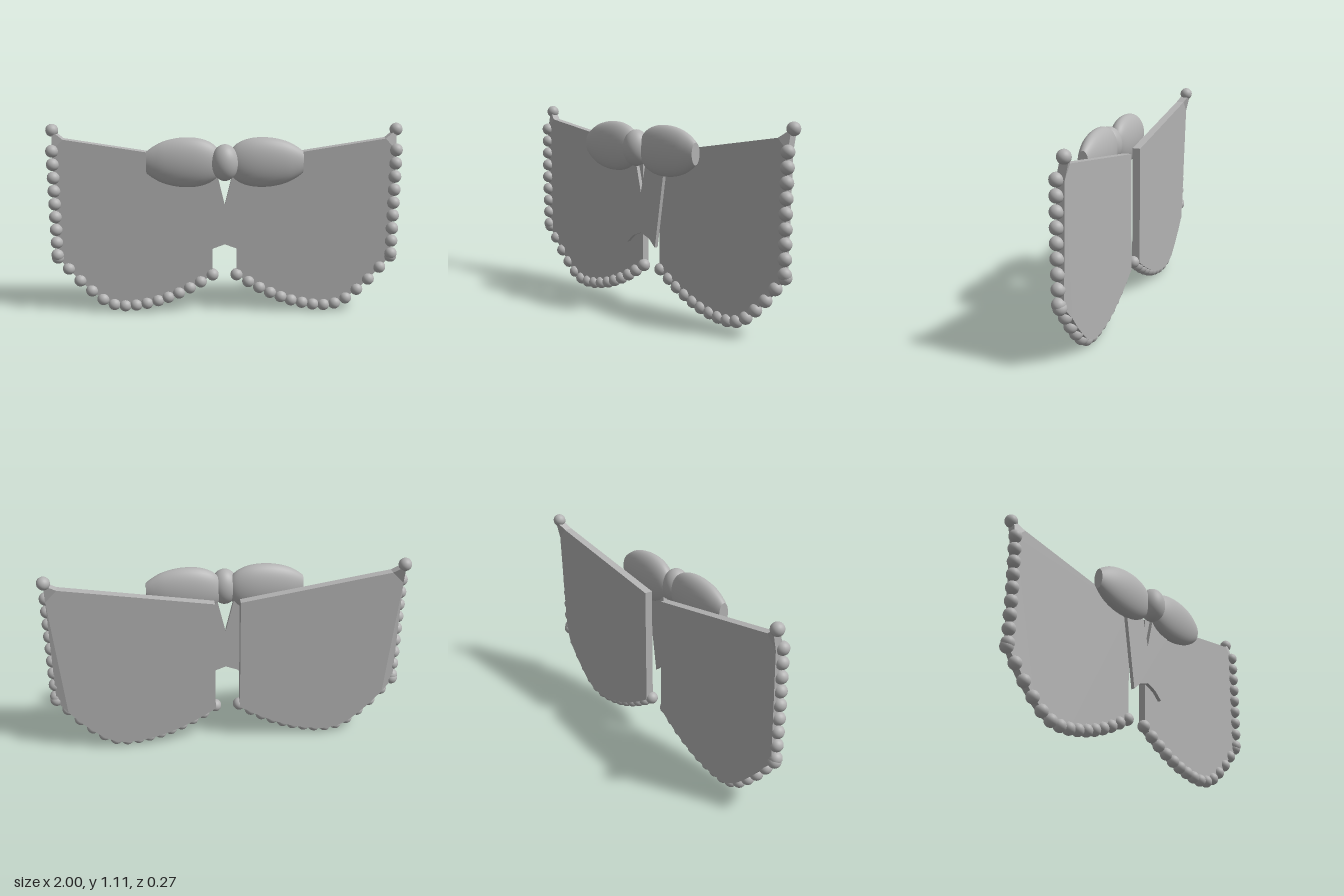
import * as THREE from 'three';

const grey = new THREE.MeshStandardMaterial({ color: 0xb3b3b3 });
grey.name = 'grey';

function add(parent, name, geometry, x = 0, y = 0, z = 0) {
  const mesh = new THREE.Mesh(geometry, grey);
  mesh.name = name;
  mesh.position.set(x, y, z);
  parent.add(mesh);
  return mesh;
}

function plate(points, depth) {
  const shape = new THREE.Shape(points.map(([x, y]) => new THREE.Vector2(x, y)));
  return new THREE.ExtrudeGeometry(shape, { depth, bevelEnabled: false });
}

// Curved lower hem, from the outer corner to the inner corner
const hem = [
  [0.963, 0.345], [0.903, 0.277], [0.84, 0.203], [0.775, 0.139], [0.711, 0.085], [0.647, 0.053],
  [0.583, 0.044], [0.519, 0.048], [0.455, 0.059], [0.39, 0.075], [0.33, 0.096], [0.267, 0.123],
  [0.203, 0.155], [0.139, 0.192], [0.07, 0.235],
];

// Flat collar panel whose outer top corner flicks up and back
function collarPanel(side) {
  const outline = [...hem, [0.07, 0.908], [0.9, 1.04], [0.963, 1.085], [0.963, 0.975]];
  const geometry = plate(outline.map(([x, y]) => [x * side, y]), 0.045);
  const p = geometry.attributes.position;
  for (let i = 0; i < p.count; i++) {
    const outer = Math.abs(p.getX(i)) > 0.95;
    if (outer && p.getY(i) > 1) p.setZ(i, p.getZ(i) - 0.025);
    if (outer && p.getY(i) < 0.5) p.setZ(i, Math.max(p.getZ(i), 0.015));
  }
  geometry.computeVertexNormals();
  return geometry;
}

// Puffed bow loop, turned about its long axis and flattened, with a blunt end
const loopProfile = new THREE.SplineCurve([
  [0.005, 0], [0.035, 0.012], [0.085, 0.045], [0.115, 0.085], [0.134, 0.14], [0.14, 0.205],
  [0.134, 0.275], [0.115, 0.345], [0.085, 0.4], [0.06, 0.432],
].map(([r, h]) => new THREE.Vector2(r, h))).getPoints(32);

function bowLoop(parent, side) {
  const loop = new THREE.Group();
  loop.name = side > 0 ? 'leftBowLoop' : 'rightBowLoop';
  loop.position.set(0, 0.93, 0.035);
  loop.scale.z = 0.5;
  add(loop, 'loopSkin', new THREE.LatheGeometry(loopProfile, 40)).rotation.z = -side * Math.PI / 2;
  add(loop, 'loopEnd', new THREE.CircleGeometry(0.06, 40), side * 0.432).rotation.y = side * Math.PI / 2;
  parent.add(loop);
}

export function createModel() {
  const model = new THREE.Group();
  model.name = 'collarWithBow';
  const bead = new THREE.SphereGeometry(0.036, 20, 14);

  for (const side of [1, -1]) {
    const label = side > 0 ? 'left' : 'right';
    add(model, label + 'CollarPanel', collarPanel(side), 0, 0, -0.1);

    // Beads along the hem, up the outer edge and on the raised corner
    const beads = new THREE.Group();
    beads.name = label + 'Beads';
    hem.forEach(([x, y]) => add(beads, 'hemBead', bead, side * x, y, -0.063));
    for (let i = 0; i < 9; i++) {
      add(beads, 'edgeBead', bead, side * 0.963, 0.363 + i * 0.0765, -0.053 - Math.abs(i - 4) * 0.001);
    }
    add(beads, 'cornerBead', bead, side * 0.963, 1.085, -0.098);
    model.add(beads);

    bowLoop(model, side);
  }

  // Central knot
  const knot = add(model, 'bowKnot', new THREE.SphereGeometry(1, 32, 24), 0, 0.934, 0.06);
  knot.scale.set(0.076, 0.102, 0.075);

  // Two joined ribbon tails with a V opening above and notched ends
  const half = [[0.05, 0.89], [0.192, 0.89], [0.18, 0.8], [0.115, 0.38], [0.066, 0.425]];
  const mirrored = half.map(([x, y]) => [-x, y]).reverse();
  add(model, 'ribbonTails', plate([[0, 0.68], ...half, [0, 0.45], ...mirrored], 0.022), 0, 0, 0.004);

  return model;
}
